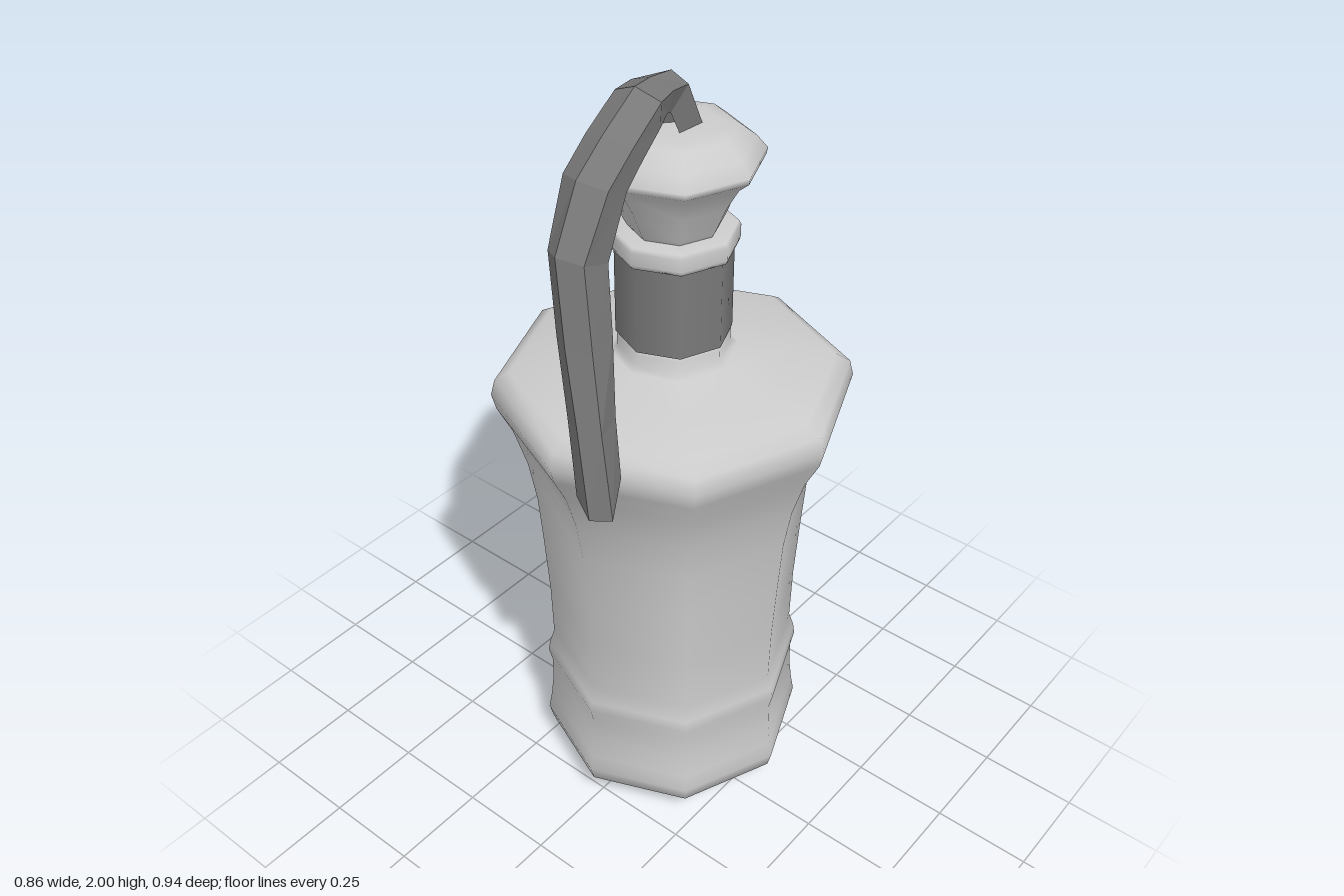
import * as THREE from 'three';

const SIDES = 8;
const AXIS_Z = -0.043;

// Eight-sided turned part from [radius, height] pairs, bottom to top
function turned(name, profile, color = 0xcccccc) {
  const points = profile.map(([r, y]) => new THREE.Vector2(r, y));
  const mesh = new THREE.Mesh(
    new THREE.LatheGeometry(points, SIDES),
    new THREE.MeshStandardMaterial({ color, side: THREE.DoubleSide })
  );
  mesh.name = name;
  mesh.position.z = AXIS_Z;
  return mesh;
}

// Draped strap: one folded cross-section lofted through the stations
function strap(color) {
  // left x, right x, outer z, outer y, inner z, inner y, inner x shift
  const stations = [
    [-0.03, 0.05, -0.09, 1.84, -0.02, 1.81, 0],
    [-0.045, 0.055, -0.03, 1.96, 0.03, 1.9, 0],
    [-0.03, 0.08, 0.06, 1.98, 0.07, 1.92, 0],
    [0, 0.12, 0.15, 2.0, 0.14, 1.925, 0],
    [0, 0.125, 0.25, 1.935, 0.2, 1.88, 0],
    [0, 0.125, 0.33, 1.87, 0.25, 1.83, 0],
    [0.02, 0.125, 0.41, 1.74, 0.31, 1.7, 0],
    [0.055, 0.16, 0.43, 1.55, 0.33, 1.55, -0.01],
    [0.1, 0.2, 0.45, 1.38, 0.35, 1.37, -0.03],
    [0.14, 0.245, 0.47, 1.18, 0.365, 1.23, -0.05],
  ];
  // across the width, and from inner edge (0) to outer edge (1)
  const section = [[0.08, 0], [0, 0.7], [0.45, 1], [1, 0.8], [0.92, 0], [0.5, 0.45]];
  const n = section.length;
  const positions = [];
  const index = [];
  for (const [xl, xr, oz, oy, iz, iy, shift] of stations) {
    for (const [u, v] of section) {
      positions.push(
        THREE.MathUtils.lerp(xl, xr, u) + shift * (1 - v),
        THREE.MathUtils.lerp(iy, oy, v),
        THREE.MathUtils.lerp(iz, oz, v)
      );
    }
  }
  for (let i = 0; i < stations.length - 1; i++) {
    for (let j = 0; j < n; j++) {
      const a = i * n + j;
      const b = i * n + ((j + 1) % n);
      index.push(a, a + n, b, b, a + n, b + n);
    }
  }
  // End caps fan out from the inner fold
  const last = (stations.length - 1) * n;
  for (let j = 0; j < n - 2; j++) {
    index.push(n - 1, j, j + 1);
    index.push(last + n - 1, last + j + 1, last + j);
  }
  const geometry = new THREE.BufferGeometry();
  geometry.setAttribute('position', new THREE.Float32BufferAttribute(positions, 3));
  geometry.setIndex(index);
  geometry.computeVertexNormals();
  const mesh = new THREE.Mesh(
    geometry,
    new THREE.MeshStandardMaterial({ color, side: THREE.DoubleSide, flatShading: true })
  );
  mesh.name = 'strap';
  return mesh;
}

export function createModel() {
  const group = new THREE.Group();
  group.name = 'bottle';
  const dark = 0x7a7a7a;

  // Body with rounded foot, raised band, flared shoulder and neck lip
  group.add(turned('body', [
    [0, 0], [0.13, 0], [0.29, 0.045], [0.33, 0.075], [0.34, 0.115], [0.332, 0.16],
    [0.325, 0.22], [0.323, 0.29], [0.332, 0.33], [0.328, 0.36], [0.315, 0.4],
    [0.318, 0.55], [0.328, 0.72], [0.337, 0.85], [0.355, 0.96], [0.385, 1.06],
    [0.42, 1.13], [0.43, 1.17], [0.42, 1.21], [0.385, 1.232], [0.27, 1.255],
    [0.15, 1.28], [0.132, 1.29], [0.132, 1.32], [0.12, 1.33],
  ]));

  // Dark sleeve around the neck
  group.add(turned('neck', [[0.135, 1.33], [0.135, 1.55]], dark));

  // Ring at the mouth
  group.add(turned('collar', [
    [0.12, 1.548], [0.145, 1.55], [0.148, 1.56], [0.148, 1.59], [0.143, 1.6], [0.1, 1.602],
  ]));

  // Flared stopper
  group.add(turned('stopper', [
    [0.1, 1.595], [0.112, 1.615], [0.14, 1.68], [0.172, 1.735], [0.197, 1.757],
    [0.2, 1.772], [0.175, 1.802], [0.135, 1.833], [0.095, 1.843], [0, 1.843],
  ]));

  group.add(strap(dark));
  return group;
}
